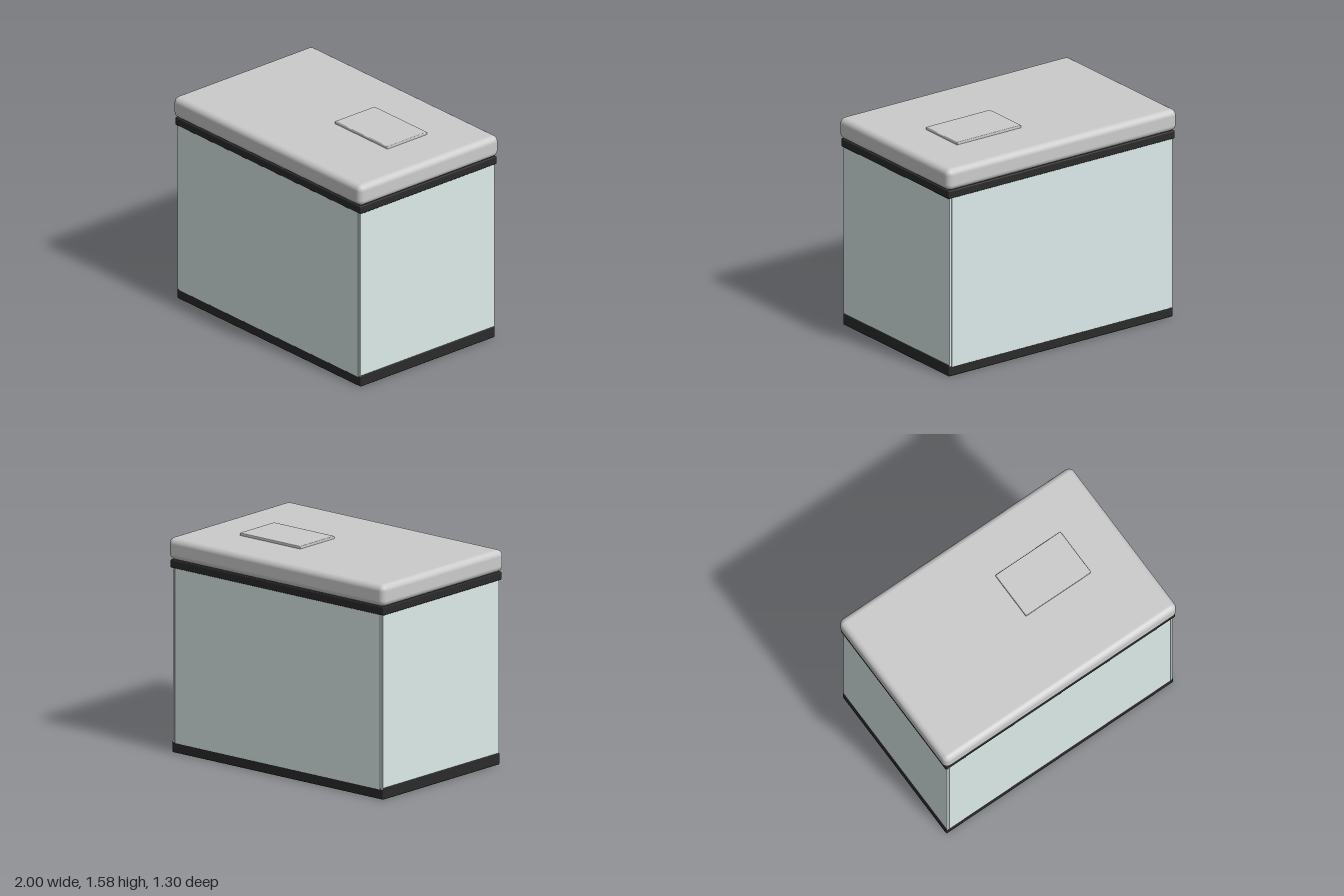
import * as THREE from 'three';
import { RoundedBoxGeometry } from 'three/addons/geometries/RoundedBoxGeometry.js';

export function createModel() {
  const model = new THREE.Group();
  model.name = 'glassTank';
  const grey = new THREE.MeshStandardMaterial({ color: 0xcccccc });
  const black = new THREE.MeshStandardMaterial({ color: 0x2a2a2a });
  const glass = new THREE.MeshStandardMaterial({ color: 0xdcebe9 });

  // Rounded block given by its size, bottom height and centre
  function block(name, material, [w, h, d], bottom, x, z, radius, segments = 2) {
    const mesh = new THREE.Mesh(new RoundedBoxGeometry(w, h, d, segments, radius), material);
    mesh.name = name;
    mesh.position.set(x, bottom + h / 2, z);
    model.add(mesh);
  }

  // Base tray and upper rim
  block('base', black, [1.95, 0.085, 1.25], 0, 0, 0, 0.008);
  block('upperRim', black, [1.97, 0.06, 1.27], 1.34, 0, 0, 0.008);

  // Glass panes: front and back between slightly recessed side panes
  for (const s of [1, -1]) {
    block(s > 0 ? 'frontPane' : 'backPane', glass, [1.9, 1.28, 0.018], 0.07, 0, s * 0.619, 0.002, 1);
    block(s > 0 ? 'leftPane' : 'rightPane', glass, [0.018, 1.28, 1.25], 0.07, s * 0.962, 0, 0.002, 1);
  }

  // Lid with soft edges and a thin access hatch
  block('lid', grey, [2, 0.16, 1.3], 1.4, 0, 0, 0.045, 4);
  block('hatch', grey, [0.56, 0.026, 0.37], 1.553, 0.37, -0.095, 0.006);

  return model;
}
